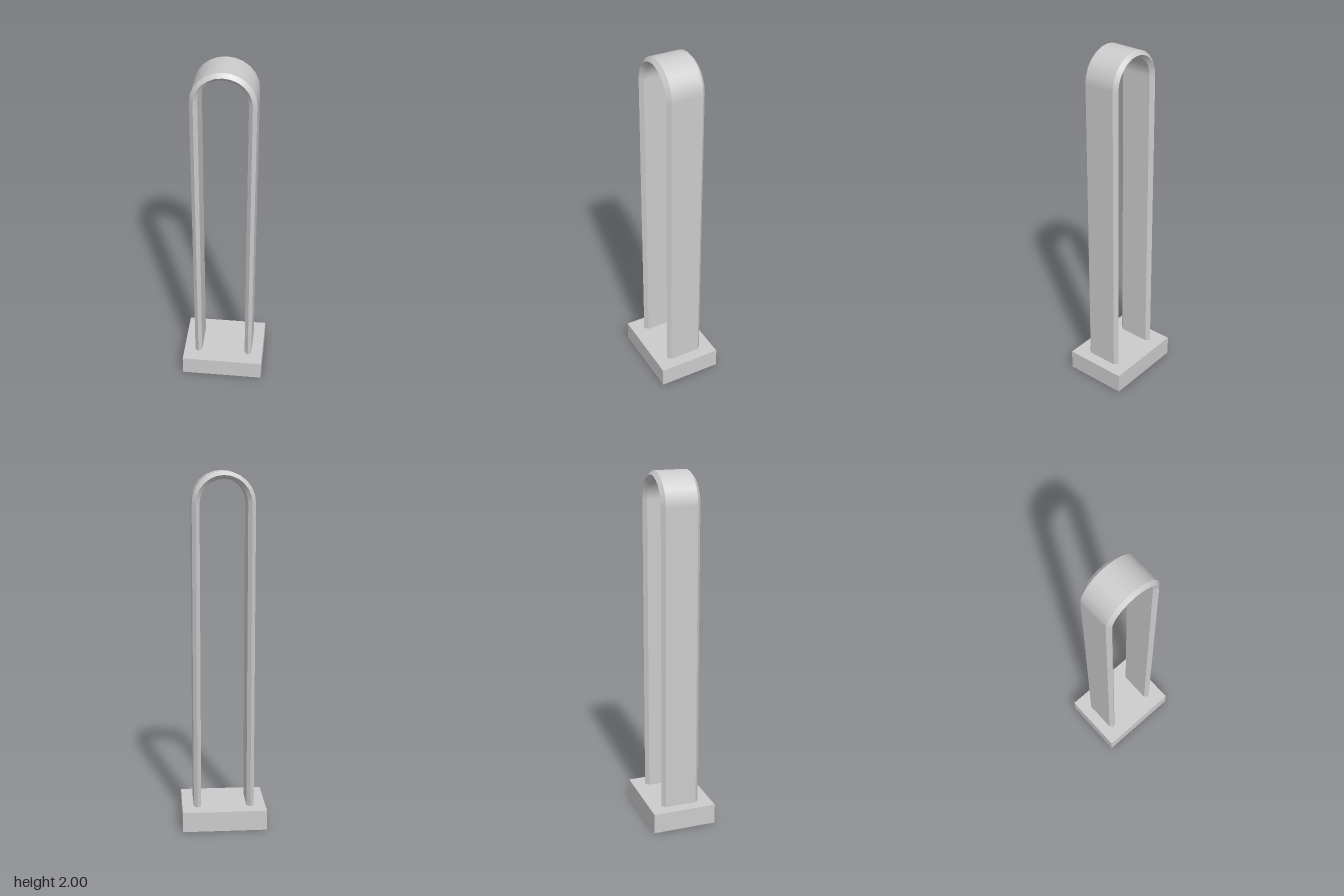
import * as THREE from 'three';

const BASE_TOP = 0.115;

// Sweeps a hexagonal band section up one leg, over a half circle and down the other leg
function archGeometry(section, springY, segments) {
  const path = [[0, BASE_TOP]];
  for (let i = 0; i <= segments; i++) path.push([(Math.PI * i) / segments, springY]);
  path.push([Math.PI, BASE_TOP]);

  const positions = [], normals = [], indices = [];
  section.forEach(([r0, z0], j) => {
    const [r1, z1] = section[(j + 1) % section.length];
    const n = new THREE.Vector2(z0 - z1, r1 - r0).normalize();
    const start = positions.length / 3;
    path.forEach(([angle, y], i) => {
      const c = Math.cos(angle), s = Math.sin(angle);
      positions.push(r0 * c, y + r0 * s, z0, r1 * c, y + r1 * s, z1);
      for (let k = 0; k < 2; k++) normals.push(n.x * c, n.x * s, n.y);
      if (i < path.length - 1) {
        const a = start + 2 * i;
        indices.push(a, a + 1, a + 2, a + 1, a + 3, a + 2);
      }
    });
  });

  const geometry = new THREE.BufferGeometry();
  geometry.setAttribute('position', new THREE.Float32BufferAttribute(positions, 3));
  geometry.setAttribute('normal', new THREE.Float32BufferAttribute(normals, 3));
  geometry.setIndex(indices);
  return geometry;
}

// Thin box without its bottom face
function openBoxGeometry(width, height, depth) {
  const geometry = new THREE.BoxGeometry(width, height, depth);
  const index = Array.from(geometry.index.array);
  index.splice(18, 6); // the fourth face is the bottom
  geometry.setIndex(index);
  geometry.clearGroups();
  return geometry;
}

export function createModel() {
  const group = new THREE.Group();
  const material = new THREE.MeshStandardMaterial({ color: 0xcccccc, side: THREE.DoubleSide });

  // Hollow base plate, open underneath
  const base = new THREE.Mesh(openBoxGeometry(0.476, BASE_TOP, 0.366), material);
  base.name = 'base';
  base.position.y = BASE_TOP / 2;
  group.add(base);

  // Tall hoop with bevelled edges, section given as radius and depth
  const section = [
    [0.172, 0.09], [0.172, -0.09], [0.151, -0.11],
    [0.13, -0.09], [0.13, 0.09], [0.151, 0.11],
  ];
  const arch = new THREE.Mesh(archGeometry(section, 1.828, 12), material);
  arch.name = 'arch';
  group.add(arch);

  return group;
}
